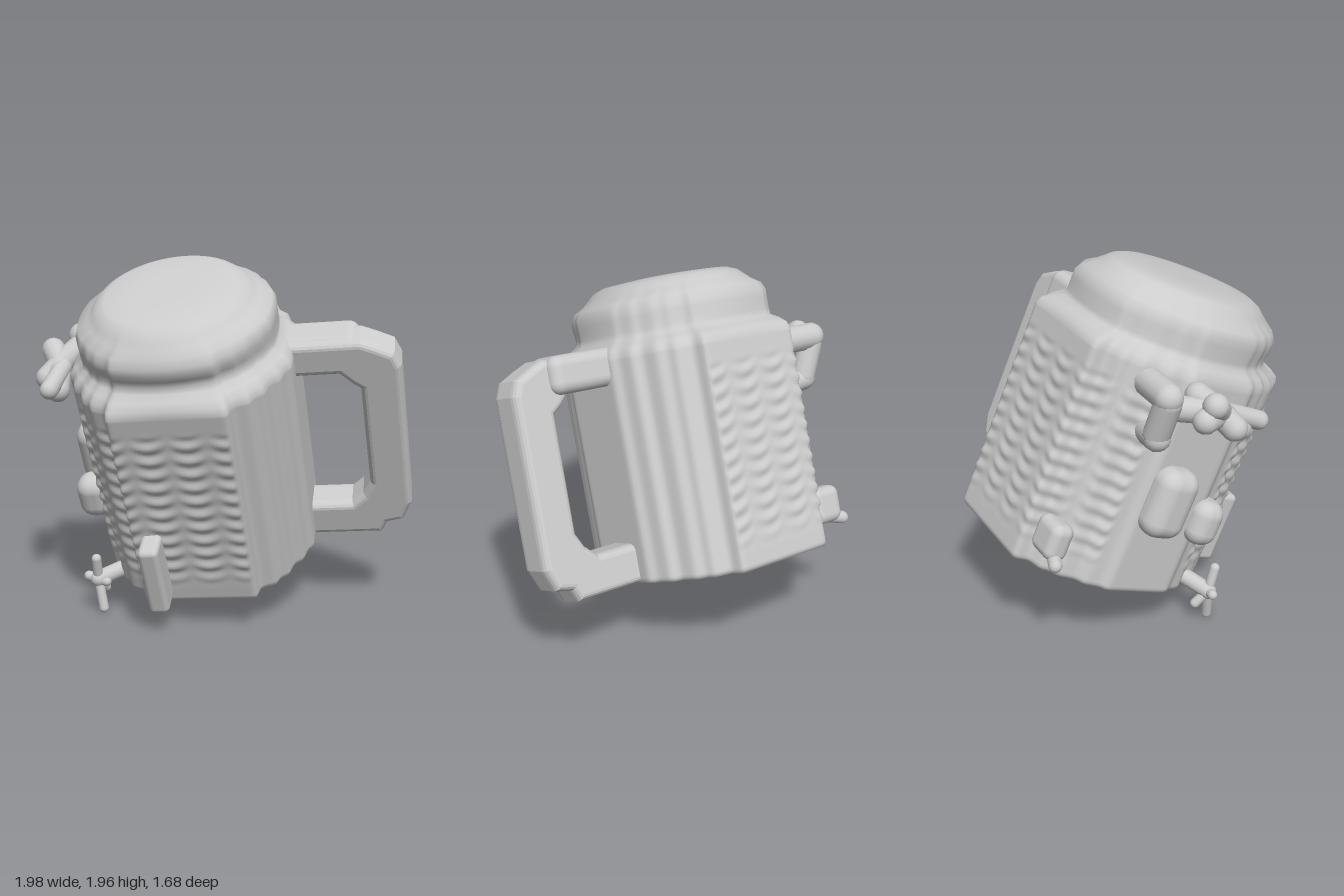
import * as THREE from 'three';
import { RoundedBoxGeometry } from 'three/addons/geometries/RoundedBoxGeometry.js';

const mat = new THREE.MeshStandardMaterial({ color: 0xcccccc, side: THREE.DoubleSide });

function add(parent, geo, name, pos = [0, 0, 0], rot = [0, 0, 0]) {
  const m = new THREE.Mesh(geo, mat);
  m.name = name;
  m.position.set(...pos);
  m.rotation.set(...rot);
  parent.add(m);
  return m;
}

// Plan of the mug: flat faces joined by stepped corners, mirrored into four quadrants
function bodyOutline(n) {
  const q = [[0.585, 0.2], [0.555, 0.23], [0.535, 0.32], [0.49, 0.345], [0.465, 0.44], [0.42, 0.465], [0.405, 0.515], [0.32, 0.545], [0.305, 0.625]];
  const rev = [...q].reverse();
  const pts = [
    ...q, ...rev.map(([x, z]) => [-x, z]),
    ...q.map(([x, z]) => [-x, -z]), ...rev.map(([x, z]) => [x, -z]),
  ].map(([x, z]) => new THREE.Vector2(x, z));
  const path = new THREE.Path(pts);
  path.closePath();
  const s = path.getSpacedPoints(n).slice(0, n);
  // soften the steps a little
  return s.map((p, i) => p.clone().multiplyScalar(2).add(s[(i + 1) % n]).add(s[(i + n - 1) % n]).multiplyScalar(0.25));
}

// Knitted relief on the front and back faces, fading out near their borders
function knit(x, z, u) {
  if (Math.abs(z) < 0.3 || x > 0.29) return 0;
  const fade = THREE.MathUtils.smoothstep(u, 0.34, 0.5) * (1 - THREE.MathUtils.smoothstep(u, 1.28, 1.36));
  const col = Math.abs(Math.sin((x + 0.02) * Math.PI / 0.2));
  return 0.007 * fade * col * Math.sin((u / 0.085 + 0.4 * col) * Math.PI * 2);
}

function bodyGeometry() {
  const n = 240, outline = bodyOutline(n);
  // rows: [scale, height, roundness]
  const rows = [[0, 0.275, 0], [0.5, 0.27, 0], [0.96, 0.262, 0], [0.985, 0.263, 0], [1, 0.28, 0]];
  for (let i = 1; i <= 90; i++) rows.push([1, 0.28 + 1.16 * i / 90, 0]);
  rows.push([0.99, 1.475, 0.1], [0.94, 1.505, 0.3], [0.875, 1.53, 0.5], [0.845, 1.56, 0.6],
    [0.865, 1.595, 0.6], [0.885, 1.63, 0.6], [0.88, 1.67, 0.6], [0.84, 1.71, 0.7], [0.79, 1.74, 0.8],
    [0.74, 1.77, 0.9], [0.69, 1.8, 1], [0.61, 1.82, 1], [0.4, 1.83, 1], [0.2, 1.83, 1], [0, 1.83, 1]);
  const pos = [], idx = [];
  rows.forEach(([s, u, round], r) => {
    outline.forEach((p, i) => {
      const a = Math.atan2(p.y / 0.62, p.x / 0.56);
      const x = THREE.MathUtils.lerp(p.x, 0.56 * Math.cos(a), round);
      const z = THREE.MathUtils.lerp(p.y, 0.625 * Math.sin(a), round);
      const k = s === 1 ? knit(x, z, u) / 0.63 : 0;
      // the groove under the rim runs along the front only; the sides are cut in less
      const rim = u > 1.52 && u < 1.69;
      const sz = rim && z < 0 ? 0.872 : s;
      const sx = u > 1.45 && u < 1.72 ? (rim ? 0.872 : s) * 0.7 + 0.3 : s;
      pos.push(x * (sx + k) - 0.015 * round, u, z * (THREE.MathUtils.lerp(sz, s, Math.max(0, 1 - Math.abs(z) / 0.2)) + k));
      if (r < rows.length - 1) {
        const b = r * n + i, c = r * n + (i + 1) % n;
        idx.push(b, b + n, c, c, b + n, c + n);
      }
    });
  });
  const g = new THREE.BufferGeometry();
  g.setAttribute('position', new THREE.Float32BufferAttribute(pos, 3));
  g.setIndex(idx);
  g.computeVertexNormals();
  return g;
}

// Square handle with chamfered, stepped corners and rounded edges
function handleGeometry() {
  const v = (a) => a.map(([x, y]) => new THREE.Vector2(x, y));
  const shape = new THREE.Shape(v([
    [0.48, 0.3], [0.94, 0.3], [0.97, 0.36], [1.06, 0.38], [1.1, 0.47], [1.095, 1.33],
    [1.07, 1.39], [0.99, 1.43], [0.92, 1.46], [0.48, 1.46], [0.48, 1.34],
    [0.82, 1.34], [0.89, 1.27], [0.945, 1.23], [0.95, 0.6], [0.9, 0.51], [0.82, 0.44], [0.48, 0.44],
  ]));
  const g = new THREE.ExtrudeGeometry(shape, {
    depth: 0.12, bevelEnabled: true, bevelThickness: 0.05, bevelSize: 0.035, bevelSegments: 4,
  });
  return g.translate(0, 0, -0.075);
}

// Rounded lobe between two points
function lobe(parent, name, a, b, r) {
  const A = new THREE.Vector3(...a), B = new THREE.Vector3(...b);
  const d = B.clone().sub(A);
  const m = add(parent, new THREE.CapsuleGeometry(r, d.length(), 6, 14), name);
  m.position.copy(A).add(B).multiplyScalar(0.5);
  m.quaternion.setFromUnitVectors(new THREE.Vector3(0, 1, 0), d.normalize());
}

export function createModel() {
  const model = new THREE.Group();
  model.name = 'tiltedMug';

  const tilt = new THREE.Group();
  tilt.name = 'tilt';
  tilt.rotation.x = 0.385;
  const mug = new THREE.Group();
  mug.name = 'mug';
  mug.position.set(-0.13, 0, -0.35);
  mug.rotation.y = 0.227;
  tilt.add(mug);
  model.add(tilt);

  add(mug, bodyGeometry(), 'body');
  add(mug, handleGeometry(), 'handle');
  add(mug, new RoundedBoxGeometry(0.46, 0.2, 0.25, 4, 0.06), 'handleTopBar', [0.69, 1.405, -0.055]);

  // nub on the front face, lump on the back corner
  add(mug, new RoundedBoxGeometry(0.11, 0.42, 0.2, 3, 0.03), 'frontNub', [-0.2, 0.51, 0.67]);
  add(mug, new RoundedBoxGeometry(0.2, 0.2, 0.13, 3, 0.05), 'backLump', [-0.41, 0.46, -0.52]);
  lobe(model, 'backLumpTip', [-0.62, 0.66, -0.54], [-0.77, 0.62, -0.56], 0.035);

  // lumps on the plain side
  add(model, new RoundedBoxGeometry(0.19, 0.25, 0.18, 4, 0.08), 'sideLump', [-0.65, 0.66, 0.27], [0.385, 0.2, 0]);
  add(model, new RoundedBoxGeometry(0.2, 0.38, 0.24, 4, 0.09), 'sideRidge', [-0.745, 0.86, 0.04], [0.385, 0.2, 0]);

  // upper ornament: bracket with an opening, and a star of lobes
  const bracket = new THREE.Group();
  bracket.name = 'bracket';
  model.add(bracket);
  lobe(bracket, 'bracketTop', [-0.64, 1.5, -0.05], [-0.87, 1.49, -0.02], 0.075);
  lobe(bracket, 'bracketSide', [-0.87, 1.46, -0.02], [-0.81, 1.28, -0.05], 0.07);
  lobe(bracket, 'bracketBottom', [-0.81, 1.26, -0.05], [-0.64, 1.24, -0.05], 0.07);
  lobe(bracket, 'bracketArm', [-0.83, 1.42, 0], [-0.86, 1.38, 0.22], 0.065);
  const star = new THREE.Group();
  star.name = 'starOrnament';
  model.add(star);
  const hub = [-0.86, 1.37, 0.25];
  [[-0.93, 1.44, 0.2], [-0.91, 1.3, 0.31], [-0.8, 1.45, 0.16], [-0.81, 1.25, 0.38], [-0.93, 1.37, 0.15]]
    .forEach((tip) => lobe(star, 'starLobe', hub, tip, 0.065));
  lobe(star, 'starBlade', [-0.83, 1.36, 0.28], [-0.8, 1.27, 0.49], 0.05);

  // small flower near the base
  const flower = new THREE.Group();
  flower.name = 'baseFlower';
  model.add(flower);
  const c = [-0.61, 0.19, 0.34];
  [[-0.6, 0.32, 0.38], [-0.575, 0.027, 0.35], [-0.67, 0.2, 0.34], [-0.56, 0.18, 0.34], [-0.6, 0.12, 0.27]]
    .forEach((tip) => lobe(flower, 'petal', c, tip, 0.027));
  lobe(flower, 'stem', c, [-0.45, 0.26, 0.2], 0.045);

  return model;
}
